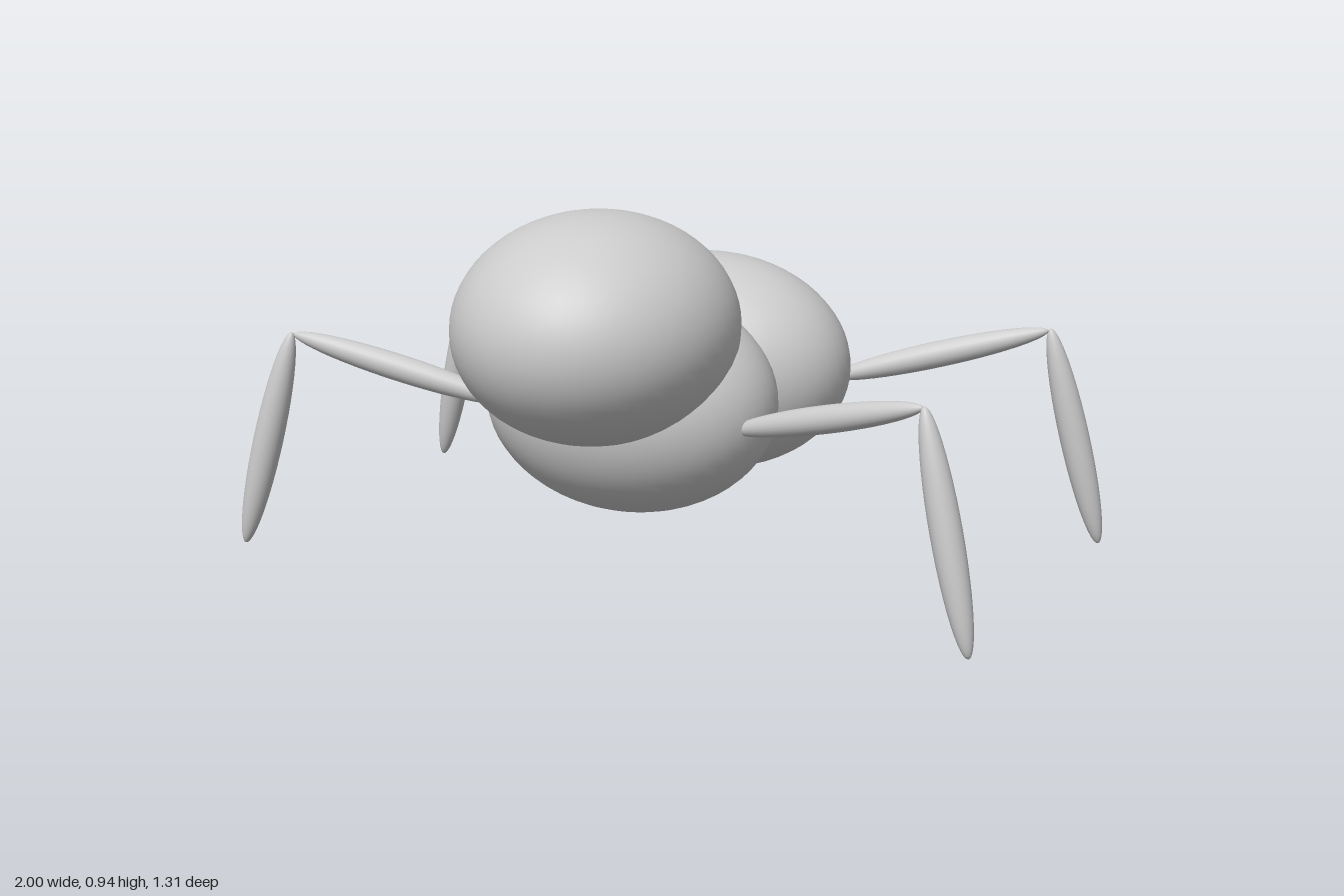
import * as THREE from 'three';

const material = new THREE.MeshStandardMaterial({ color: 0xcccccc });

function ellipsoid(name, center, radii, wide = 48, high = 32) {
  const mesh = new THREE.Mesh(new THREE.SphereGeometry(1, wide, high), material);
  mesh.name = name;
  mesh.position.set(...center);
  mesh.scale.set(...radii);
  return mesh;
}

// Slender ellipsoid whose tips lie at two points
function limb(name, from, to, radius) {
  const a = new THREE.Vector3(...from);
  const b = new THREE.Vector3(...to);
  const axis = b.clone().sub(a);
  const center = a.clone().add(b).multiplyScalar(0.5);
  const mesh = ellipsoid(name, center.toArray(), [radius, axis.length() / 2, radius], 24, 24);
  mesh.quaternion.setFromUnitVectors(new THREE.Vector3(0, 1, 0), axis.normalize());
  return mesh;
}

export function createModel() {
  const model = new THREE.Group();
  model.name = 'spiderCreature';

  // Two equal body lobes and the raised head
  model.add(
    ellipsoid('head', [0, 0.655, 0.274], [0.342, 0.28, 0.379]),
    ellipsoid('frontBody', [0, 0.443, 0.093], [0.38, 0.285, 0.285]),
    ellipsoid('rearBody', [0, 0.443, -0.37], [0.38, 0.285, 0.285])
  );

  // Four jointed legs, mirrored left to right and front to rear
  const middleZ = -0.139;
  for (const [end, sz] of [['front', 1], ['rear', -1]]) {
    for (const [side, sx] of [['Left', 1], ['Right', -1]]) {
      const place = (x, y, z) => [sx * x, y, middleZ + sz * z];
      const leg = new THREE.Group();
      leg.name = `${end}${side}Leg`;
      leg.add(
        limb('upperLeg', place(0.31, 0.41, 0.308), place(0.85, 0.56, 0.45), 0.034),
        limb('lowerLeg', place(0.853, 0.565, 0.454), place(0.99, 0, 0.494), 0.038)
      );
      model.add(leg);
    }
  }
  return model;
}
